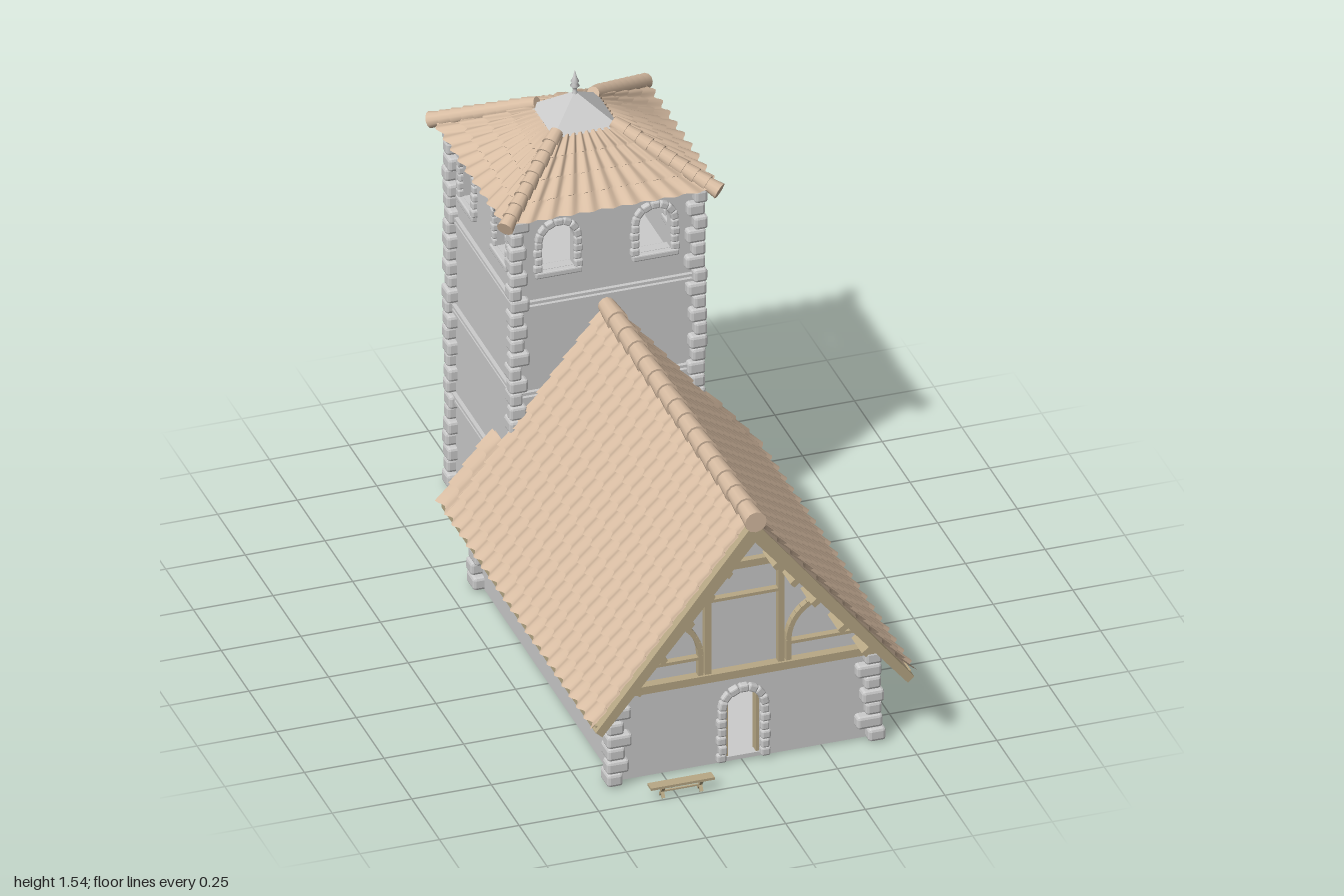
import * as THREE from 'three';
import { mergeGeometries } from 'three/addons/utils/BufferGeometryUtils.js';
import { RoundedBoxGeometry } from 'three/addons/geometries/RoundedBoxGeometry.js';

const mat = (color, flatShading = true) =>
  new THREE.MeshStandardMaterial({ color, flatShading, side: THREE.DoubleSide });
const GREY = mat(0xcccccc), TILE = mat(0xd8bda3, false), DECK = mat(0xd0b79e);
const WOOD = mat(0xb8a885), GOLD = mat(0xb8934d), METAL = mat(0xcccccc, false);
const V = (x, y, z) => new THREE.Vector3(x, y, z);
const TZ = -0.65;                 // tower centre
const RIDGE = 0.885, SLOPE = 1.26; // nave roof line y = RIDGE - SLOPE * |x|

let seed = 7;
const rnd = (a, b) => {
  seed = (seed * 16807) % 2147483647;
  return a + (b - a) * seed / 2147483647;
};

function add(parent, name, geo, material, x = 0, y = 0, z = 0, ry = 0) {
  const m = new THREE.Mesh(geo, material);
  m.name = name;
  m.position.set(x, y, z);
  m.rotation.y = ry;
  parent.add(m);
  return m;
}
const box = (w, h, d, x = 0, y = 0, z = 0) => new THREE.BoxGeometry(w, h, d).translate(x, y, z);
const stone = (w, h, d) => new RoundedBoxGeometry(w, h, d, 1, Math.min(w, h, d) * 0.22);
const poly = (pts) => new THREE.Shape(pts.map(([x, y]) => new THREE.Vector2(x, y)));
const extrude = (shape, depth, z = 0) =>
  new THREE.ExtrudeGeometry(shape, { depth, bevelEnabled: false, curveSegments: 8 }).translate(0, 0, z);

// Round-headed opening
function arch(cx, hw, y0, spring) {
  const p = new THREE.Shape();
  p.moveTo(cx - hw, y0).lineTo(cx + hw, y0).lineTo(cx + hw, spring);
  p.absarc(cx, spring, hw, 0, Math.PI, false);
  p.closePath();
  return p;
}

// Stone surround of an opening
function archStones(hw, y0, spring, t, depth, sill = false) {
  const parts = [], R = hw + t / 2;
  const n = Math.max(3, Math.round((spring - y0) / (t * 1.2))), h = (spring - y0) / n;
  for (const s of [-1, 1]) for (let i = 0; i < n; i++) {
    const w = t * (i % 2 ? 1 : 1.2);
    parts.push(stone(w, h * 0.97, depth * rnd(0.85, 1.1)).translate(s * (hw + w / 2), y0 + (i + 0.5) * h, 0));
  }
  const k = 7;
  for (let i = 0; i < k; i++) {
    const a = (i + 0.5) / k * Math.PI;
    parts.push(stone(t, R * Math.PI / k * 1.02, depth * rnd(0.85, 1.1)).rotateZ(a)
      .translate(Math.cos(a) * R, spring + Math.sin(a) * R, 0));
  }
  if (sill) parts.push(stone(2 * (hw + t), 0.02, depth * 1.1).translate(0, y0 - 0.006, 0));
  return mergeGeometries(parts);
}

// Stacked corner stones, long side alternating
function quoin(x, z, sx, sz, y0, y1, n, size, flare) {
  const parts = [], h = (y1 - y0) / n;
  for (let i = 0; i < n; i++) {
    const long = size * rnd(1.25, 1.5), short = size * rnd(0.9, 1.05);
    const w = i % 2 ? long : short, d = i % 2 ? short : long;
    const out = 0.018 + flare * Math.pow(1 - i / n, 2) + rnd(-0.003, 0.005);
    parts.push(stone(w, h * 0.98, d)
      .translate(x + sx * (out - w / 2 + 0.01), y0 + (i + 0.5) * h, z + sz * (out - d / 2 + 0.01)));
  }
  return mergeGeometries(parts);
}

// Rippled, stepped tiles between a lower edge a0-a1 and an upper edge b0-b1
function tileSheet(a0, a1, b0, b1, cols, rows) {
  const nu = cols * 6, nv = rows * 2, pos = [], idx = [];
  const up = b0.clone().add(b1).sub(a0).sub(a1).normalize();
  const nor = a1.clone().sub(a0).cross(up).normalize();
  if (nor.y < 0) nor.negate();
  for (let j = 0; j < nv; j++) for (let i = 0; i <= nu; i++) {
    const u = i / nu, v = (Math.floor(j / 2) + j % 2) / rows;
    const wave = 0.006 * Math.cos(u * cols * 2 * Math.PI);
    const p = a0.clone().lerp(a1, u).lerp(b0.clone().lerp(b1, u), v);
    p.addScaledVector(nor, wave + (j % 2 ? 0.006 : 0.015));
    if (j % 2 === 0) p.addScaledVector(up, -wave);
    pos.push(p.x, p.y, p.z);
    if (j && i) {
      const d = j * (nu + 1) + i, c = d - 1, b = d - nu - 1, a = b - 1;
      idx.push(a, b, d, a, d, c);
    }
  }
  const g = new THREE.BufferGeometry();
  g.setAttribute('position', new THREE.Float32BufferAttribute(pos, 3));
  g.setIndex(idx);
  g.computeVertexNormals();
  return g;
}

// Overlapping round tiles along a ridge or hip, wide end towards the start
function tileRun(from, to, n, r) {
  const parts = [], dir = to.clone().sub(from), len = dir.length() / n;
  const q = new THREE.Quaternion().setFromUnitVectors(V(0, 1, 0), dir.clone().normalize());
  for (let i = 0; i < n; i++) {
    const p = from.clone().addScaledVector(dir, (i + 0.5) / n);
    parts.push(new THREE.CylinderGeometry(r * 0.78, r, len * 1.15, 12).applyQuaternion(q).translate(p.x, p.y, p.z));
  }
  return mergeGeometries(parts);
}

function bar(x1, y1, x2, y2, w, d = 0.025) {
  return box(Math.hypot(x2 - x1, y2 - y1), w, d).rotateZ(Math.atan2(y2 - y1, x2 - x1))
    .translate((x1 + x2) / 2, (y1 + y2) / 2, 0.87);
}

function buildNave() {
  const g = new THREE.Group();
  g.name = 'nave';
  add(g, 'naveFloor', box(0.8, 0.012, 1.21, 0, 0.012, 0.255), GREY);
  // Gable walls with doorways
  for (const [name, z] of [['frontGable', 0.83], ['backGable', -0.35]]) {
    const s = poly([[-0.4, 0.01], [0.4, 0.01], [0.4, 0.35], [0, 0.855], [-0.4, 0.35]]);
    s.holes.push(arch(0, 0.054, 0.02, 0.19));
    add(g, name, extrude(s, 0.03, z), GREY);
  }
  add(g, 'frontDoorStones', archStones(0.054, 0.01, 0.19, 0.025, 0.05), GREY, 0, 0, 0.855);
  add(g, 'towerDoorStones', archStones(0.054, 0.01, 0.19, 0.025, 0.085), GREY, 0, 0, -0.36);
  for (const s of [-1, 1]) add(g, 'doorPost', box(0.01, 0.2, 0.03, s * 0.049, 0.115, 0.84), WOOD);
  add(g, 'doorLeaf', box(0.1, 0.21, 0.012, 0.05, 0.12, 0), WOOD, -0.046, 0, 0.83, 1.4);
  // Side walls with three windows each
  const windows = [0.675, 0.27, -0.14];
  for (const s of [-1, 1]) {
    const w = poly([[-0.86, 0.01], [0.35, 0.01], [0.35, 0.35], [-0.86, 0.35]]);
    for (const z of windows) w.holes.push(arch(-z, 0.025, 0.12, 0.235));
    add(g, 'sideWall', extrude(w, 0.03, -0.015), GREY, s * 0.385, 0, 0, Math.PI / 2);
    for (const z of windows) {
      add(g, 'windowStones', archStones(0.025, 0.11, 0.235, 0.016, 0.03), GREY, s * 0.4, 0, z, Math.PI / 2);
      add(g, 'windowPane', extrude(arch(0, 0.026, 0.115, 0.235), 0.008), GOLD, s * 0.388, 0, z, Math.PI / 2);
      const bars = [box(0.006, 0.14, 0.014, 0, 0.185, 0), box(0.05, 0.006, 0.014, 0, 0.185, 0)];
      add(g, 'windowBars', mergeGeometries(bars), GOLD, s * 0.392, 0, z, Math.PI / 2);
    }
    for (const [z, sz] of [[0.86, 1], [-0.35, -1]])
      add(g, 'naveQuoin', quoin(s * 0.4, z, s, sz, 0.005, 0.31, 7, 0.055, 0.008), GREY);
  }
  // Roof slopes, with the lower part running on beside the tower
  const ry = (x) => RIDGE - SLOPE * x;
  for (const s of [-1, 1]) {
    for (const [x0, z0, z1, cols, rows] of [[0, -0.35, 0.965, 20, 12], [0.325, -0.435, -0.35, 1, 4]]) {
      const deck = poly([[s * x0, ry(x0)], [s * 0.495, ry(0.495)], [s * 0.475, ry(0.495) - 0.016], [s * x0, ry(x0) - 0.04]]);
      add(g, 'roofDeck', extrude(deck, z1 - z0, z0), DECK);
      add(g, 'roofTiles', tileSheet(V(s * 0.495, ry(0.495), z0), V(s * 0.495, ry(0.495), z1 + 0.005),
        V(s * x0, ry(x0), z0), V(s * x0, ry(x0), z1 + 0.005), cols, rows), TILE);
    }
    // Barge board and batten ends
    add(g, 'bargeBoard', extrude(poly([[0, RIDGE], [s * 0.5, ry(0.5)], [s * 0.48, ry(0.5) - 0.018], [0, RIDGE - 0.07]]), 0.03, 0.945), WOOD);
    add(g, 'eaveBoard', box(0.02, 0.025, 1.39, s * 0.485, 0.257, 0.265), WOOD);
    for (const x of [0.08, 0.135, 0.2, 0.285, 0.36])
      add(g, 'batten', box(0.02, 0.03, 0.11).rotateZ(-s * 0.9), WOOD, s * x, ry(x) - 0.075, 0.9);
  }
  add(g, 'ridgeTiles', tileRun(V(0, 0.888, 0.975), V(0, 0.882, -0.36), 15, 0.034), TILE);
  // Gable timber frame
  const beams = [bar(-0.45, 0.318, 0.45, 0.318, 0.026, 0.04), bar(-0.13, 0.688, 0.13, 0.688, 0.024), bar(-0.11, 0.58, 0.11, 0.58, 0.01)];
  for (const s of [-1, 1]) {
    beams.push(bar(s * 0.115, 0.33, s * 0.115, 0.72, 0.02), bar(s * 0.138, 0.33, s * 0.138, 0.4, 0.016),
      bar(s * 0.14, 0.39, s * 0.36, 0.39, 0.01), bar(s * 0.085, 0.7, s * 0.03, 0.79, 0.01));
    for (let i = 0; i < 8; i++) {
      const p = [i, i + 1].map((k) => k / 8 * 1.35);
      const [c, d] = p.map((a) => [s * (0.27 - 0.132 * Math.cos(a)), 0.4 + 0.132 * Math.sin(a)]);
      beams.push(bar(...c, ...d, 0.016));
    }
  }
  add(g, 'gableTimbers', mergeGeometries(beams), WOOD);
  return g;
}

function buildTower() {
  const g = new THREE.Group();
  g.name = 'tower';
  g.position.z = TZ;
  const E = 0.33, T = 0.1;
  for (let k = 0; k < 4; k++) {
    const side = new THREE.Group();
    side.name = 'towerSide';
    side.rotation.y = k * Math.PI / 2;
    g.add(side);
    // Wall with a pair of open belfry windows
    const w = poly([[-0.28, 0.01], [0.28, 0.01], [0.28, 1.24], [-0.28, 1.24]]);
    for (const x of [-0.152, 0.152]) {
      w.holes.push(arch(x, 0.05, 1.04, 1.14));
      add(side, 'belfryStones', archStones(0.05, 1.035, 1.14, 0.023, 0.05, true), GREY, x, 0, 0.27);
    }
    if (k === 0) w.holes.push(arch(0, 0.054, 0.02, 0.19));
    add(side, 'towerWall', extrude(w, 0.03, 0.25), GREY);
    for (const y of [0.315, 0.62, 0.93, 1.228])
      for (const d of [-0.008, 0.008])
        add(side, 'stringCourse', box(0.58, 0.009, 0.025, 0, y + d, 0.28), GREY);
    add(side, 'towerQuoin', quoin(0.28, 0.28, 1, 1, 0.005, 1.235, 27, 0.043, 0.002), GREY);
    // Roof slope and hip
    add(side, 'towerTiles', tileSheet(V(-E, 1.235, E), V(E, 1.235, E), V(-T, 1.375, T), V(T, 1.375, T), 10, 4), TILE);
    add(side, 'hipTiles', tileRun(V(0.335, 1.24, 0.335), V(0.09, 1.385, 0.09), 9, 0.026), TILE);
  }
  // Upper floors, each with a stair well
  for (const y of [0.305, 0.61, 0.92]) {
    const f = poly([[-0.26, -0.26], [0.26, -0.26], [0.26, 0.26], [-0.26, 0.26]]);
    f.holes.push(poly([[-0.25, -0.16], [-0.13, -0.16], [-0.13, 0.2], [-0.25, 0.2]]));
    add(g, 'towerFloor', extrude(f, 0.015).rotateX(-Math.PI / 2), GREY, 0, y, 0);
  }
  const steps = [];
  for (let i = 0; i < 9; i++) steps.push(box(0.11, 0.012, 0.045, -0.19, 0.035 + i * 0.033, 0.2 - i * 0.042));
  add(g, 'stairs', mergeGeometries(steps), WOOD);
  // Metal cap and finial
  add(g, 'roofCap', new THREE.CylinderGeometry(0, 0.106 * Math.SQRT2, 0.085, 4).rotateY(Math.PI / 4), GREY, 0, 1.418, 0);
  const prof = [[0.012, 1.44], [0.006, 1.465], [0.008, 1.475], [0.015, 1.48], [0.008, 1.487], [0.013, 1.495], [0.006, 1.51], [0, 1.535]];
  add(g, 'finial', new THREE.LatheGeometry(prof.map(([x, y]) => new THREE.Vector2(x, y)), 10), METAL);
  return g;
}

function buildBench() {
  const g = new THREE.Group();
  g.name = 'bench';
  g.position.set(-0.235, 0, 0.982);
  add(g, 'benchSeat', box(0.2, 0.008, 0.034, 0, 0.041, 0), WOOD);
  add(g, 'benchRail', box(0.13, 0.005, 0.006, 0, 0.02, 0), WOOD);
  for (const x of [-0.06, 0.06]) for (const s of [-1, 1])
    add(g, 'benchLeg', box(0.01, 0.044, 0.007).rotateX(s * 0.6), WOOD, x, 0.02, 0);
  return g;
}

export function createModel() {
  const model = new THREE.Group();
  model.name = 'church';
  model.add(buildNave(), buildTower(), buildBench());
  return model;
}
